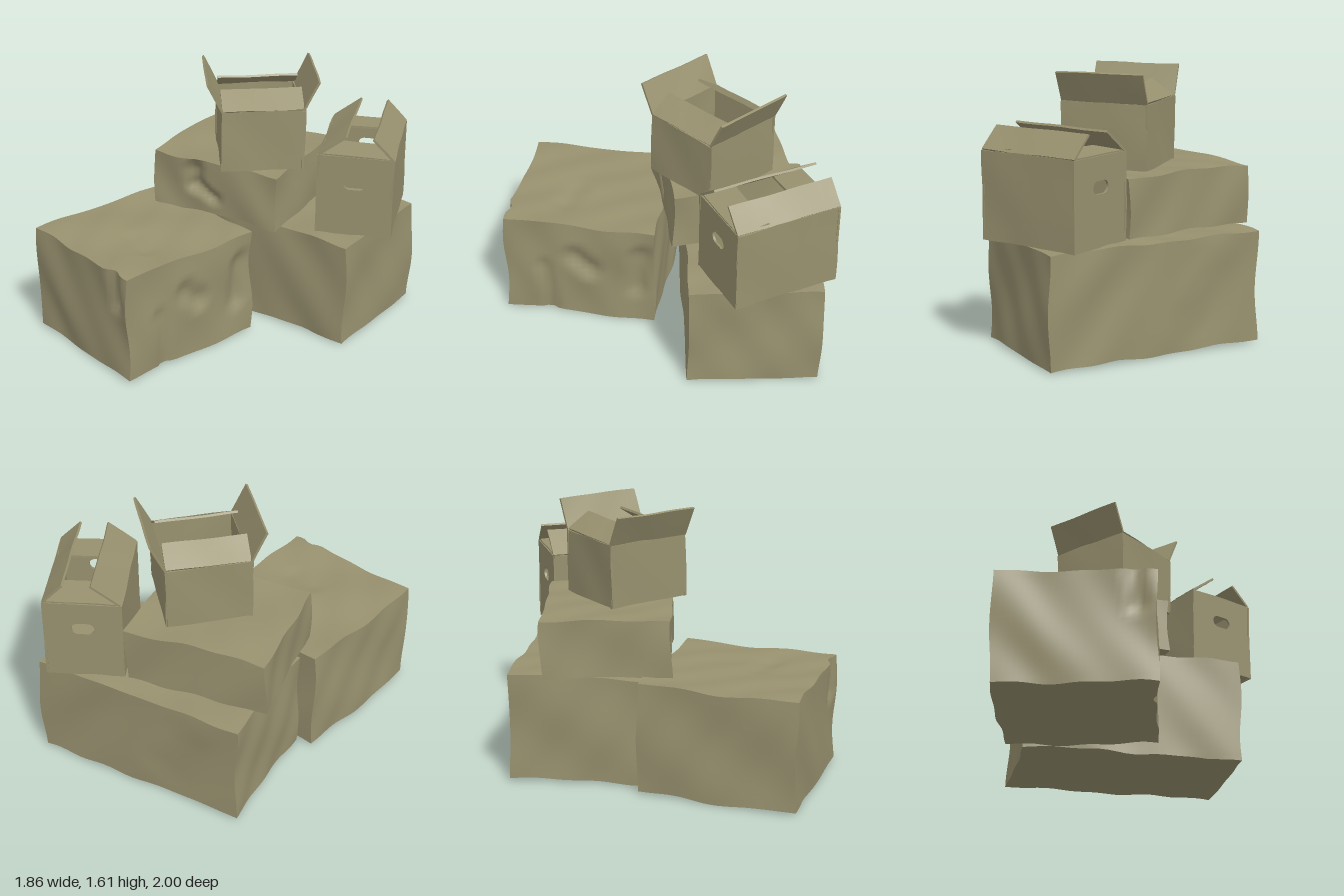
import * as THREE from 'three';

const cardboard = new THREE.MeshStandardMaterial({ color: 0x98916f, side: THREE.DoubleSide });

// Smooth wobble plus crease-shaped dents; depends on position only, so seams stay closed
function warp(geometry, amp, seed, dents = []) {
  const pos = geometry.attributes.position;
  const p = new THREE.Vector3(), near = new THREE.Vector3();
  for (let i = 0; i < pos.count; i++) {
    p.fromBufferAttribute(pos, i);
    const { x, y, z } = p;
    const dx = Math.sin(9 * y + 6 * z + seed) + 0.6 * Math.sin(17 * z - 11 * y + 2 * seed);
    const dy = Math.sin(8 * x + 7 * z + 2 * seed) + 0.6 * Math.sin(19 * x - 13 * z + seed);
    const dz = Math.sin(7 * x + 9 * y + 3 * seed) + 0.6 * Math.sin(16 * x + 12 * y - seed);
    for (const { from, to, radius, push } of dents) {
      new THREE.Line3(new THREE.Vector3(...from), new THREE.Vector3(...to))
        .closestPointToPoint(p, true, near);
      const k = Math.max(0, 1 - near.distanceTo(p) / radius);
      p.addScaledVector(new THREE.Vector3(...push), k);
    }
    pos.setXYZ(i, p.x + amp * dx, p.y + amp * dy, p.z + amp * dz);
  }
  geometry.computeVertexNormals();
  return geometry;
}

function part(name, geometry, parent) {
  const mesh = new THREE.Mesh(geometry, cardboard);
  mesh.name = name;
  parent.add(mesh);
  return mesh;
}

// Closed, crumpled carton
function closedBox(parent, { name, size, at, turn, seed, dents }) {
  const geometry = warp(new THREE.BoxGeometry(...size, 26, 20, 26), 0.007, seed, dents);
  const mesh = part(name, geometry, parent);
  mesh.position.set(...at);
  mesh.rotation.y = turn;
}

// Wall panel standing on y = 0, with an optional rounded hand hole
function wallGeometry(width, height, t, hole) {
  if (!hole) return new THREE.BoxGeometry(width, height, t, 8, 8, 1).translate(0, height / 2, -t / 2);
  const w = width / 2;
  const shape = new THREE.Shape([[-w, 0], [w, 0], [w, height], [-w, height]]
    .map(([x, y]) => new THREE.Vector2(x, y)));
  const r = hole.height / 2, s = hole.width / 2 - r;
  const path = new THREE.Path();
  path.absarc(s, hole.y, r, -Math.PI / 2, Math.PI / 2);
  path.absarc(-s, hole.y, r, Math.PI / 2, Math.PI * 1.5);
  path.closePath();
  shape.holes.push(path);
  return new THREE.ExtrudeGeometry(shape, { depth: t, bevelEnabled: false, curveSegments: 8 })
    .translate(0, 0, -t);
}

// Open carton; flaps run front, left, back, right and tilt outward when positive
function openBox(parent, { name, size, at, turn, seed, flaps, hole }) {
  const [w, h, d] = size, t = 0.014;
  const box = new THREE.Group();
  box.name = name;
  box.position.set(...at);
  box.rotation.y = turn;
  parent.add(box);
  part('bottom', new THREE.BoxGeometry(w - t, t, d - t).translate(0, t / 2, 0), box);
  ['front', 'left', 'back', 'right'].forEach((side, i) => {
    const across = i % 2 ? d : w, out = (i % 2 ? w : d) / 2;
    const panel = new THREE.Group();
    panel.name = side + 'Side';
    panel.rotation.y = i * Math.PI / 2;
    box.add(panel);
    const withHole = i % 2 ? null : hole;
    const wall = wallGeometry(across, h, t, withHole).translate(0, 0, out);
    part(side + 'Wall', withHole ? wall : warp(wall, 0.003, seed + i), panel);
    const { tilt, length, inset = 0 } = flaps[i];
    const flap = new THREE.BoxGeometry(across - 2 * inset, length, t, 8, 4, 1)
      .translate(0, length / 2, 0);
    const mesh = part(side + 'Flap', warp(flap, 0.002, seed + i), panel);
    mesh.position.set(0, h, out - t / 2);
    mesh.rotation.x = tilt;
  });
}

export function createModel() {
  const model = new THREE.Group();
  model.name = 'boxPile';

  // Two large boxes on the ground
  closedBox(model, {
    name: 'frontLargeBox', size: [0.915, 0.675, 0.965], at: [-0.37, 0.36, 0.415], turn: -0.235, seed: 1,
    dents: [
      { from: [0.33, 0.33, 0.48], to: [0.36, 0.12, 0.48], radius: 0.07, push: [0, 0, -0.04] },
      { from: [0.46, 0.1, 0.02], to: [0.46, 0.03, -0.06], radius: 0.1, push: [-0.05, 0, 0] },
      { from: [0.46, -0.33, 0.2], to: [0.46, 0, 0.24], radius: 0.06, push: [-0.03, 0, 0] },
      { from: [0.46, 0.15, -0.4], to: [0.46, -0.1, -0.36], radius: 0.09, push: [-0.04, 0, 0] },
      { from: [0.05, 0.34, 0.1], to: [0.2, 0.34, 0.14], radius: 0.1, push: [0, -0.02, 0] },
    ],
  });
  closedBox(model, {
    name: 'backLargeBox', size: [1.36, 0.66, 0.8], at: [0.095, 0.355, -0.535], turn: -0.02, seed: 4,
    dents: [
      { from: [0.48, -0.33, 0.4], to: [0.5, -0.33, 0.36], radius: 0.14, push: [0, -0.02, 0] },
      { from: [-0.3, 0.1, -0.4], to: [-0.2, -0.1, -0.4], radius: 0.2, push: [0, 0, 0.015] },
    ],
  });

  // Flat box lying on top of them
  closedBox(model, {
    name: 'middleBox', size: [0.875, 0.35, 0.765], at: [-0.178, 0.872, -0.395], turn: 0.1, seed: 2.3,
    dents: [
      { from: [-0.14, 0.1, 0.38], to: [-0.13, 0.0, 0.38], radius: 0.08, push: [0, 0, -0.05] },
      { from: [-0.13, 0.0, 0.38], to: [0.0, -0.07, 0.38], radius: 0.06, push: [0, 0, -0.04] },
    ],
  });

  // Open box with two flaps spread outward and two leaning in
  const leaning = { tilt: -1.0, length: 0.17, inset: 0.006 };
  const spread = { tilt: 0.46, length: 0.2 };
  openBox(model, {
    name: 'openBox', size: [0.51, 0.385, 0.535], at: [-0.005, 1.05, -0.31], turn: 0.7, seed: 3,
    flaps: [leaning, spread, leaning, spread],
  });

  // Half-closed box with hand holes
  const tucked = { tilt: -1.5, length: 0.2, inset: 0.016 };
  openBox(model, {
    name: 'handleBox', size: [0.468, 0.515, 0.667], at: [0.58, 0.69, -0.595], turn: 0.4, seed: 5,
    flaps: [tucked, { tilt: -0.77, length: 0.175 }, tucked, { tilt: -0.92, length: 0.21 }],
    hole: { y: 0.34, width: 0.135, height: 0.075 },
  });

  return model;
}
